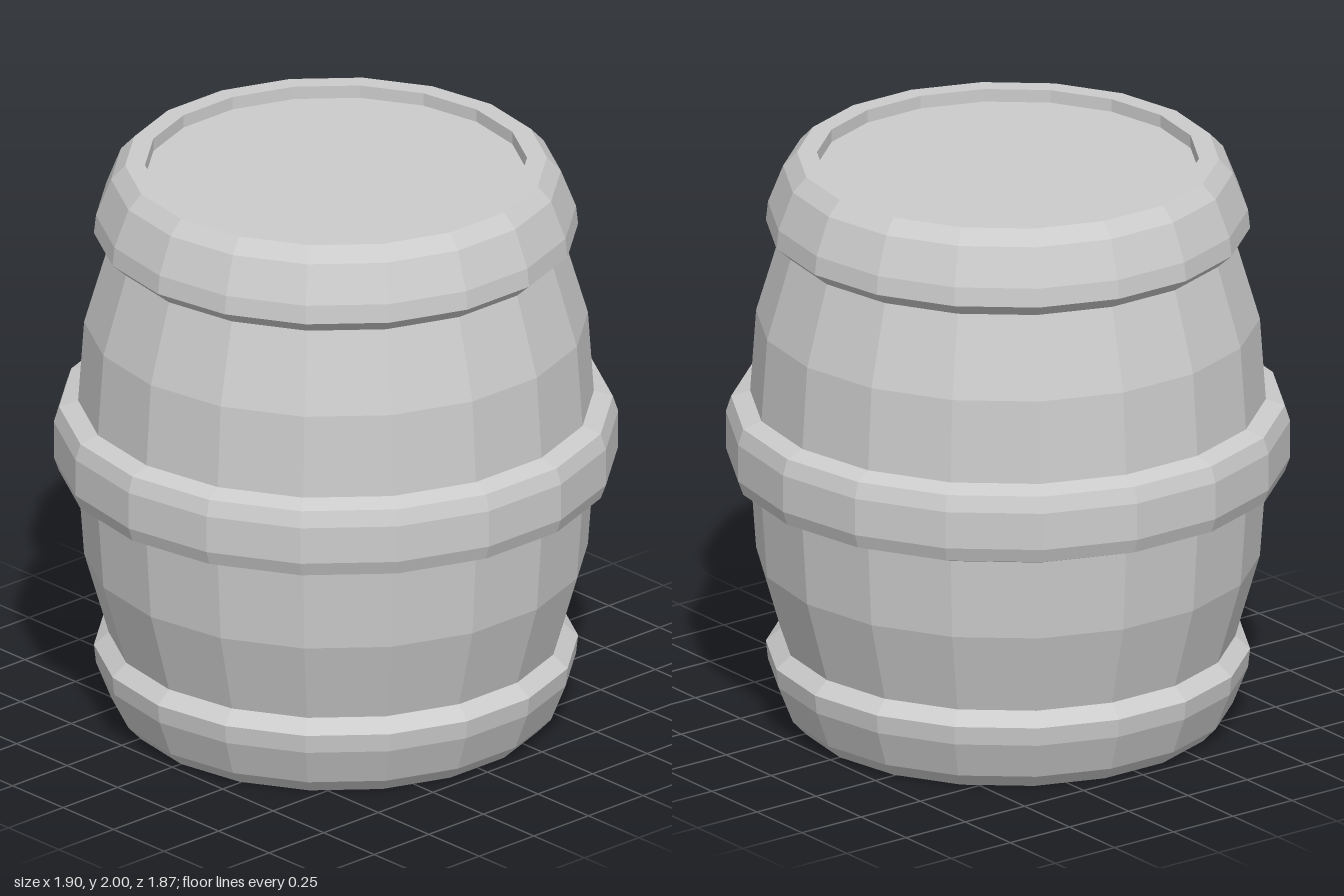
import * as THREE from 'three';

const SIDES = 18;
const HEIGHT = 2;

export function createModel() {
  const barrel = new THREE.Group();
  barrel.name = 'barrel';
  const material = new THREE.MeshStandardMaterial({ color: 0xcccccc, flatShading: true });

  // Turns a profile of [radius, y] points, listed counter-clockwise, into a faceted ring
  function addTurned(name, profile) {
    const points = profile.map(([r, y]) => new THREE.Vector2(r, y));
    const mesh = new THREE.Mesh(new THREE.LatheGeometry(points, SIDES, Math.PI / 2), material);
    mesh.name = name;
    barrel.add(mesh);
  }

  // Flips a profile from the lower half to the upper half
  const mirror = (profile) => profile.map(([r, y]) => [r, HEIGHT - y]).reverse();

  // Flat head discs
  function addHead(name, radius, y, tilt) {
    const mesh = new THREE.Mesh(new THREE.CircleGeometry(radius, SIDES), material);
    mesh.name = name;
    mesh.rotation.x = tilt;
    mesh.position.y = y;
    barrel.add(mesh);
  }

  const endHoop = [[0.71, 0], [0.757, 0.05], [0.808, 0.18], [0.815, 0.245], [0.765, 0.29]];
  const staves = [[0.765, 0.29], [0.848, 0.58], [0.868, 0.86]];
  const middleHoop = [[0.868, 0.86], [0.932, 0.885], [0.95, 0.935], [0.95, 1.065], [0.932, 1.12], [0.868, 1.142]];

  addTurned('lowerHoop', endHoop);
  addTurned('lowerStaves', staves);
  addTurned('middleHoop', middleHoop);
  addTurned('upperStaves', [[0.868, 1.142], [0.848, 1.43], [0.765, 1.71]]);
  addTurned('upperHoop', mirror(endHoop));

  // Flat rim and the short wall down to the recessed lid
  const lidY = HEIGHT - 0.045;
  addTurned('topRim', [[0.71, HEIGHT], [0.643, HEIGHT], [0.643, lidY]]);
  addHead('lid', 0.643, lidY, -Math.PI / 2);
  addHead('base', 0.71, 0, Math.PI / 2);

  return barrel;
}
